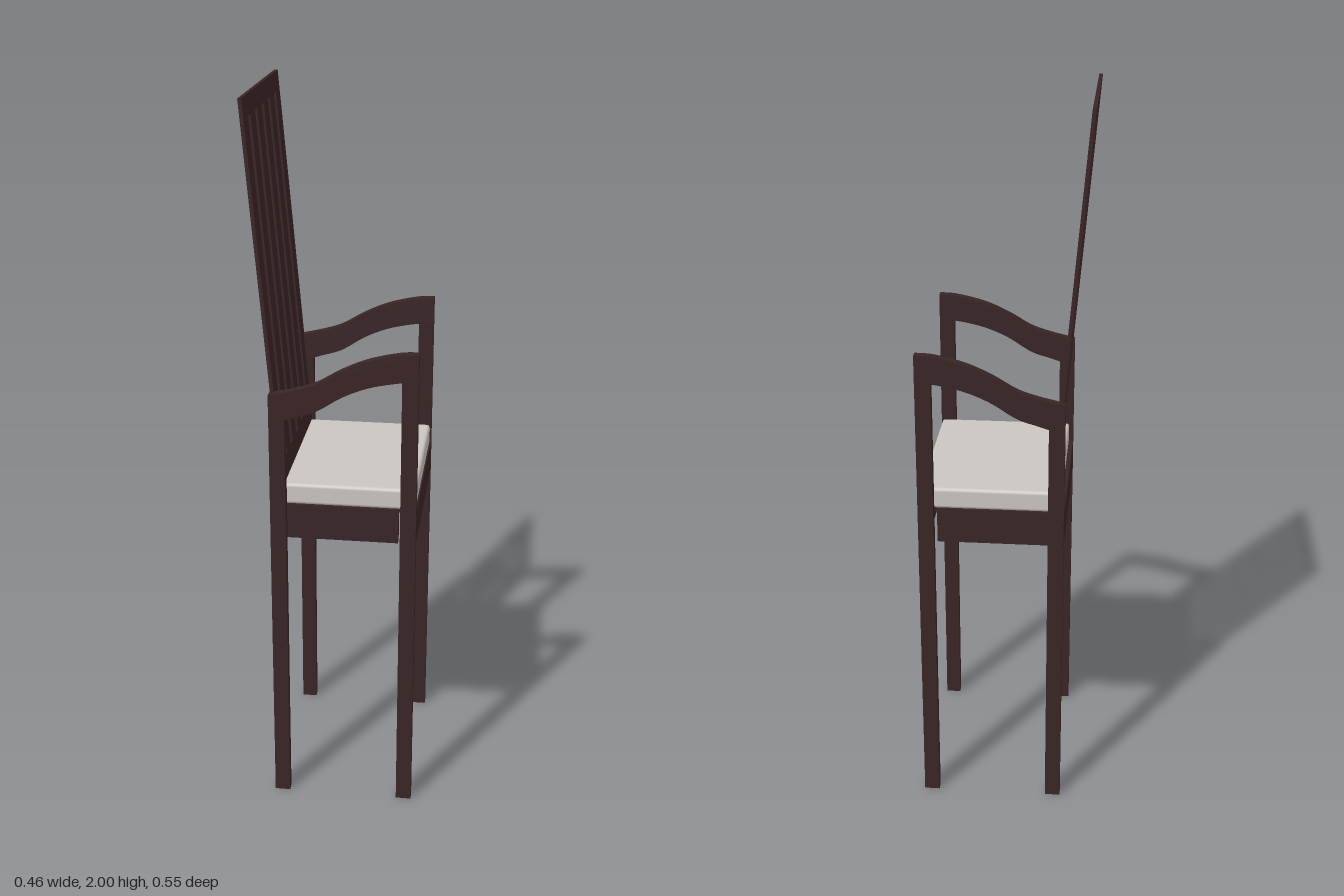
import * as THREE from 'three';
import { RoundedBoxGeometry } from 'three/addons/geometries/RoundedBoxGeometry.js';

export function createModel() {
  const wood = new THREE.MeshStandardMaterial({ color: 0x3a2526 });
  wood.name = 'dark wood';
  const fabric = new THREE.MeshStandardMaterial({ color: 0xccc5c1 });
  fabric.name = 'pale fabric';

  const chair = new THREE.Group();
  chair.name = 'armchair';

  const add = (name, geometry, material = wood) => {
    const mesh = new THREE.Mesh(geometry, material);
    mesh.name = name;
    chair.add(mesh);
    return mesh;
  };
  // Box given by its limits on each axis
  const box = (name, x0, x1, y0, y1, z0, z1) => {
    const mesh = add(name, new THREE.BoxGeometry(x1 - x0, y1 - y0, z1 - z0));
    mesh.position.set((x0 + x1) / 2, (y0 + y1) / 2, (z0 + z1) / 2);
    return mesh;
  };

  // Curved armrest profile
  const top = [[0.23, 1.36], [0.18, 1.357], [0.1, 1.338], [0.03, 1.308], [-0.04, 1.268], [-0.1, 1.248], [-0.168, 1.232]];
  const bottom = [[-0.168, 1.15], [-0.1, 1.172], [-0.04, 1.192], [0.03, 1.235], [0.1, 1.264], [0.18, 1.281], [0.23, 1.283]];
  const toVectors = (points) => points.map(([x, y]) => new THREE.Vector2(x, y));
  const armShape = new THREE.Shape();
  armShape.moveTo(...top[0]);
  armShape.splineThru(toVectors(top.slice(1)));
  armShape.lineTo(...bottom[0]);
  armShape.splineThru(toVectors(bottom.slice(1)));
  armShape.closePath();
  const armGeometry = new THREE.ExtrudeGeometry(armShape, { depth: 0.025, bevelEnabled: false, curveSegments: 24 });

  // Legs, armrests and side aprons, mirrored
  for (const [side, s] of [['left', 1], ['right', -1]]) {
    const z0 = s > 0 ? 0.249 : -0.273;
    box(side + ' back leg', -0.168, -0.125, 0, 1.165, z0, z0 + 0.024);
    box(side + ' front leg', 0.187, 0.23, 0, 1.283, z0, z0 + 0.024);
    add(side + ' armrest', armGeometry).position.z = s > 0 ? 0.249 : -0.274;
    const a0 = s > 0 ? 0.227 : -0.249;
    box(side + ' apron', -0.146, 0.18, 0.81, 0.91, a0, a0 + 0.022);
  }

  // Front and back aprons
  box('front apron', 0.207, 0.229, 0.81, 0.91, -0.249, 0.249);
  box('back apron', -0.168, -0.146, 0.81, 0.91, -0.249, 0.249);

  // Slats under the cushion, running front to back
  const slats = 6, pitch = 0.454 / slats;
  for (let i = 0; i < slats; i++) {
    const z = -0.227 + i * pitch;
    box('seat slat', -0.15, 0.21, 0.89, 0.909, z + 0.005, z + pitch - 0.005);
  }

  // Seat cushion
  const cushion = add('cushion', new RoundedBoxGeometry(0.383, 0.06, 0.498, 3, 0.01), fabric);
  cushion.position.set(0.035, 0.94, 0);

  // Tall leaning back: a thin panel with five upright slots
  const backShape = new THREE.Shape();
  const rectangle = (path, u0, u1, v0, v1) => {
    path.moveTo(u0, v0);
    path.lineTo(u1, v0);
    path.lineTo(u1, v1);
    path.lineTo(u0, v1);
    path.closePath();
    return path;
  };
  rectangle(backShape, -0.26, 0.26, 0, 1.033);
  for (let i = -2; i <= 2; i++) {
    const u = i * 0.0925;
    backShape.holes.push(rectangle(new THREE.Path(), u - 0.0155, u + 0.0155, 0.06, 0.98));
  }
  const backGeometry = new THREE.ExtrudeGeometry(backShape, { depth: 0.01, bevelEnabled: false });
  backGeometry.rotateY(-Math.PI / 2);
  const back = add('slatted back', backGeometry);
  back.position.set(-0.131, 0.97, 0);
  back.rotation.z = 0.0873;

  return chair;
}
